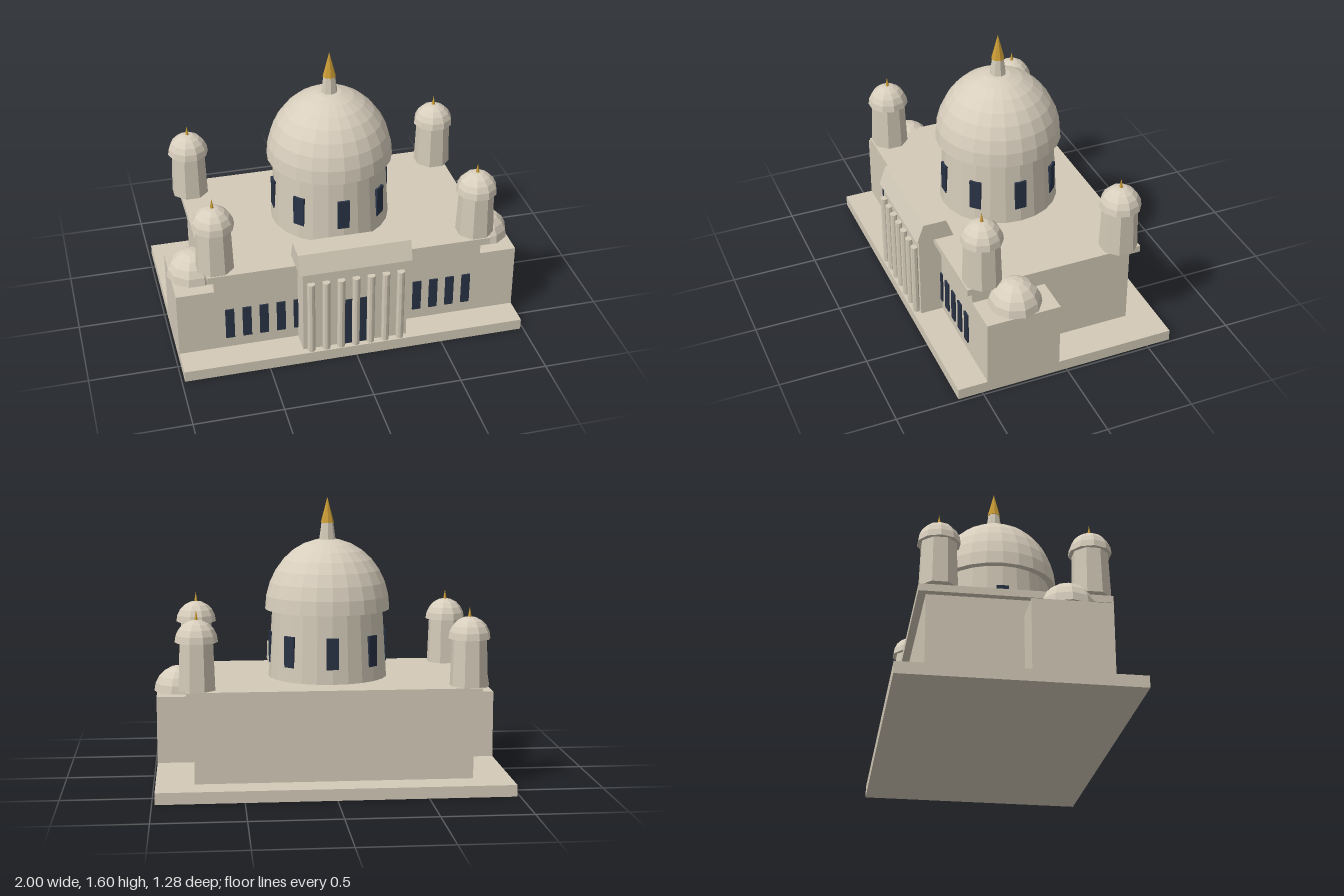
import * as THREE from 'three';

const flat = (name, color) => {
  const m = new THREE.MeshStandardMaterial({ color, flatShading: true });
  m.name = name;
  return m;
};

export function createModel() {
  const stone = flat('stone', 0xd3cab8);
  const domeStone = flat('domeStone', 0xd8cebd);
  const glass = flat('darkGlass', 0x293346);
  const gold = flat('gold', 0xc99b35);
  const model = new THREE.Group();
  model.name = 'domedHall';

  const add = (name, geo, mat, x, y, z, parent = model) => {
    const mesh = new THREE.Mesh(geo, mat);
    mesh.name = name;
    mesh.position.set(x, y, z);
    parent.add(mesh);
    return mesh;
  };
  // Box given by its lower and upper limits on each axis
  const box = (name, mat, [x0, x1], [y0, y1], [z0, z1], parent) =>
    add(name, new THREE.BoxGeometry(x1 - x0, y1 - y0, z1 - z0), mat,
      (x0 + x1) / 2, (y0 + y1) / 2, (z0 + z1) / 2, parent);
  // Upright tapered shaft standing on y0
  const shaft = (name, mat, rTop, rBottom, y0, y1, sides, x, z, parent) =>
    add(name, new THREE.CylinderGeometry(rTop, rBottom, y1 - y0, sides), mat, x, (y0 + y1) / 2, z, parent);
  // Half dome with a closed underside
  const dome = (name, r, h, sides, rings, x, y, z, parent) => {
    const shell = add(name, new THREE.SphereGeometry(r, sides, rings, 0, Math.PI * 2, 0, Math.PI / 2),
      domeStone, x, y, z, parent);
    shell.scale.y = h / r;
    const base = add(name + 'Underside', new THREE.CircleGeometry(r, sides), domeStone, x, y, z, parent);
    base.rotation.x = Math.PI / 2;
  };

  // Plinth, hall and overhanging roof slab
  box('plinth', stone, [-0.983, 0.983], [0, 0.065], [-0.64, 0.64]);
  box('hall', stone, [-0.77, 0.77], [0.065, 0.54], [-0.47, 0.47]);
  box('roofSlab', stone, [-0.81, 0.81], [0.54, 0.58], [-0.512, 0.512]);

  // Side wings with half domes
  for (const s of [-1, 1]) {
    const x = [0.76 * s, 0.983 * s].sort((a, b) => a - b);
    box('sideWing', stone, x, [0.065, 0.453], [0.045, 0.47]);
    dome('wingDome', 0.148, 0.15, 10, 5, 0.852 * s, 0.453, 0.256);
  }

  // Central drum, its eight windows and the great dome
  shaft('drum', stone, 0.317, 0.34, 0.58, 0.966, 24, 0, 0);
  for (let i = 0; i < 8; i++) {
    const bay = new THREE.Group();
    bay.name = 'drumWindow';
    bay.rotation.y = i * Math.PI / 4;
    box('drumWindowPane', glass, [-0.034, 0.034], [0.662, 0.837], [0.306, 0.336], bay);
    model.add(bay);
  }
  dome('greatDome', 0.357, 0.4, 24, 8, 0, 0.966, 0);
  shaft('lantern', stone, 0.033, 0.048, 1.35, 1.46, 8, 0, 0);
  shaft('spire', gold, 0, 0.038, 1.455, 1.6, 8, 0, 0);

  // Four corner turrets
  for (const sx of [-1, 1]) for (const sz of [-1, 1]) {
    const turret = new THREE.Group();
    turret.name = 'cornerTurret';
    turret.position.set(0.75 * sx, 0, 0.405 * sz);
    shaft('turretShaft', stone, 0.098, 0.108, 0.58, 0.842, 8, 0, 0, turret).rotation.y = Math.PI / 8;
    dome('turretDome', 0.1175, 0.122, 10, 5, 0, 0.842, 0, turret);
    shaft('turretFinial', gold, 0, 0.013, 0.95, 1.018, 6, 0, 0, turret);
    model.add(turret);
  }

  // Portico with sloped attic, door and columns
  box('porticoBody', stone, [-0.3, 0.3], [0.065, 0.58], [0.46, 0.6]);
  const profile = new THREE.Shape([[-0.617, 0.58], [-0.402, 0.58], [-0.443, 0.69], [-0.577, 0.69]]
    .map(([z, y]) => new THREE.Vector2(z, y)));
  const attic = add('porticoAttic',
    new THREE.ExtrudeGeometry(profile, { depth: 0.64, bevelEnabled: false }), stone, -0.32, 0, 0);
  attic.rotation.y = Math.PI / 2;
  box('door', glass, [-0.066, 0.066], [0.065, 0.367], [0.598, 0.606]);
  for (let i = -3; i <= 3; i++)
    shaft('column', stone, 0.022, 0.022, 0.065, 0.516, 10, i * 0.0856, 0.614);

  // Front wall windows
  for (const s of [-1, 1]) for (let i = 0; i < 5; i++) {
    const x = s * (0.3 + i * 0.0975);
    box('wallWindow', glass, [x - 0.025, x + 0.025], [0.132, 0.323], [0.471, 0.48]);
  }
  return model;
}
